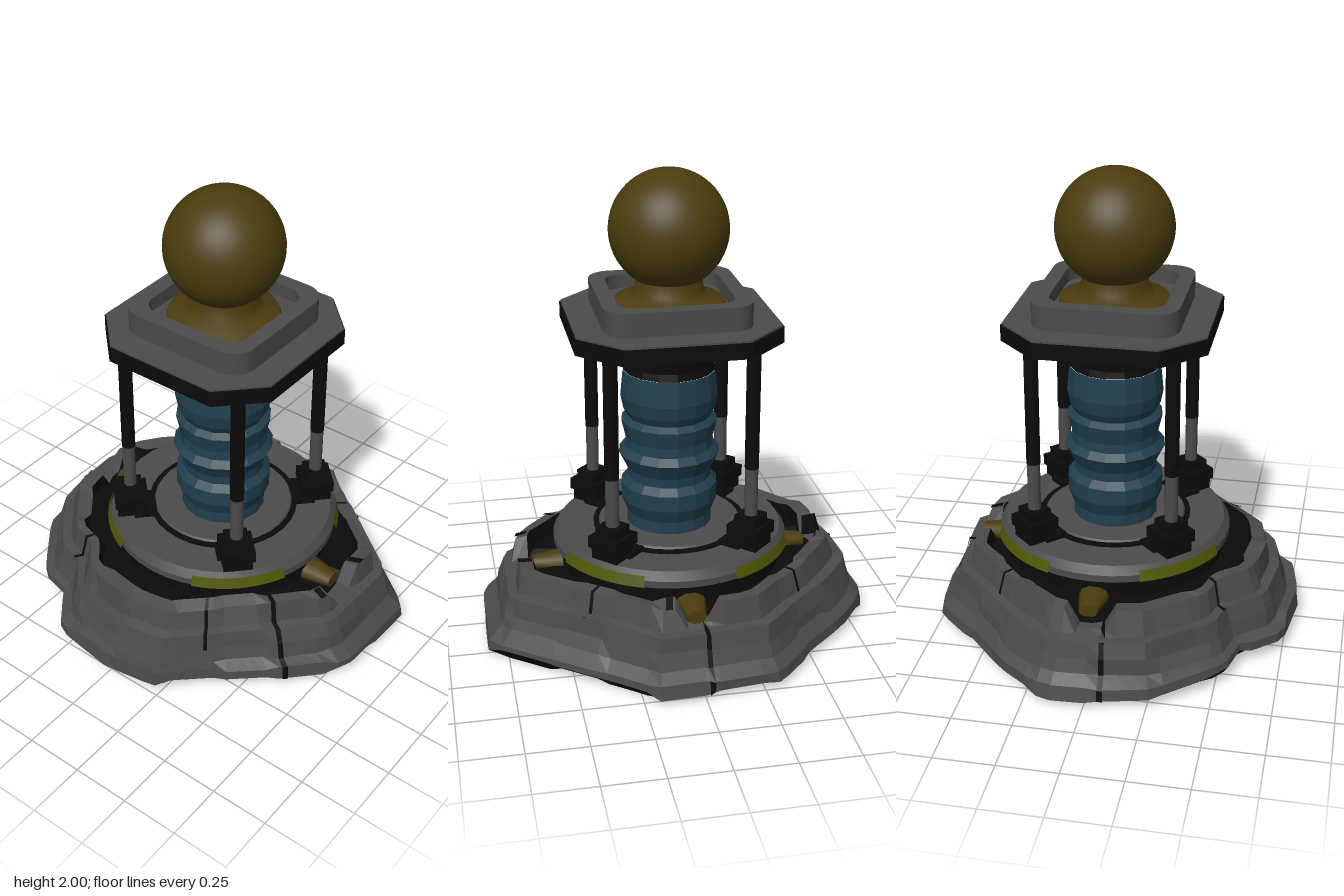
import * as THREE from 'three';
import { toCreasedNormals } from 'three/addons/utils/BufferGeometryUtils.js';

const mat = (name, color) => {
  const m = new THREE.MeshStandardMaterial({ color });
  m.name = name;
  return m;
};

// Repeatable noise in -1..1
const noise = (i, j) => {
  const s = Math.sin(i * 127.1 + j * 311.7) * 43758.5453;
  return (s - Math.floor(s)) * 2 - 1;
};

// Ground outline of the rocky base, as x, z pairs
const OUTLINE = [
  [0.79, 0.19], [0.69, 0.31], [0.3, 0.82], [0.27, 0.84], [-0.17, 0.83], [-0.4, 0.62], [-0.76, 0.24],
  [-0.8, 0], [-0.76, -0.29], [-0.59, -0.43], [-0.55, -0.58], [-0.26, -0.81], [-0.08, -0.84],
  [0.15, -0.85], [0.22, -0.82], [0.38, -0.7], [0.56, -0.5], [0.75, -0.32], [0.78, -0.04],
];

// Distance from the centre to the outline in direction a
function outlineRadius(a) {
  const dx = Math.cos(a), dz = Math.sin(a);
  for (let i = 0; i < OUTLINE.length; i++) {
    const [px, pz] = OUTLINE[i], [qx, qz] = OUTLINE[(i + 1) % OUTLINE.length];
    const ex = qx - px, ez = qz - pz, d = dx * ez - dz * ex;
    const t = (px * ez - pz * ex) / d, u = (px * dz - pz * dx) / d;
    if (t > 0 && u >= 0 && u <= 1) return t;
  }
  return 0.8;
}

// Rock profile: height, outline factor, height jitter, radius jitter
const PROFILE = [
  [0.015, 0.95, 0.01, 0], [0.04, 0.992, 0.015, 0.004], [0.085, 0.985, 0.015, 0.008], [0.13, 0.93, 0.01, 0.012],
  [0.19, 0.905, 0.008, 0.008], [0.26, 0.885, 0.006, 0.008], [0.265, 0.83, 0.006, 0.01],
  [0.355, 0.8, 0.014, 0.012], [0.365, 0.735, 0.012, 0.025], [0.3, 0.72, 0, 0.01],
];
const STEPS = 80;
const STUD_STEPS = [0, 20, 60];

function rockPoint(step, row, out = 0) {
  const [y, f, jy, jr] = PROFILE[row];
  const k = ((Math.round(step) % STEPS) + STEPS) % STEPS;
  const a = (step / STEPS) * Math.PI * 2;
  const block = Math.floor(k / 4); // neighbouring steps share one stone
  const r = outlineRadius(a) * (f + jr * noise(block, row)) + out;
  const notched = row > 6 && STUD_STEPS.some((s) => Math.cos(a - (s / STEPS) * Math.PI * 2) > 0.996);
  const lift = row < 3 ? 0.035 * Math.max(0, -Math.cos(a)) : 0;
  const h = notched ? 0.275 : y + lift + jy * noise(block, row + 20);
  return [r * Math.cos(a), h + (row > 6 ? out : 0), r * Math.sin(a)];
}

// Flat-faced skin over rock rows, between two steps
function rockSkin(row0, row1, from = 0, to = STEPS, stride = 1, out = 0) {
  const p = [];
  for (let s = from; s < to - 1e-6; s += stride) {
    for (let r = row0; r < row1; r++) {
      const a = rockPoint(s, r, out), b = rockPoint(s + stride, r, out);
      const c = rockPoint(s + stride, r + 1, out), d = rockPoint(s, r + 1, out);
      p.push(...a, ...c, ...b, ...a, ...d, ...c);
    }
  }
  return fromPoints(p);
}

// Closing fan from a rock row to the axis
function rockCap(row, y, up) {
  const p = [];
  for (let s = 0; s < STEPS; s++) {
    p.push(0, y, 0, ...rockPoint(up ? s + 1 : s, row), ...rockPoint(up ? s : s + 1, row));
  }
  return fromPoints(p);
}

function fromPoints(p) {
  const g = new THREE.BufferGeometry();
  g.setAttribute('position', new THREE.Float32BufferAttribute(p, 3));
  g.computeVertexNormals();
  return g;
}

// Square outlines: corners rounded, or cut to an octagon
function roundedSquare(Type, h, r) {
  const s = new Type();
  s.moveTo(h, 0);
  [[1, 1], [-1, 1], [-1, -1], [1, -1]].forEach(([x, y], i) => {
    const start = i * Math.PI / 2;
    s.absarc(x * (h - r), y * (h - r), r, start, start + Math.PI / 2, false);
  });
  s.closePath();
  return s;
}
const cutSquare = (h, c) => new THREE.Shape([
  [h, -c], [h, c], [c, h], [-c, h], [-h, c], [-h, -c], [-c, -h], [c, -h],
].map(([x, y]) => new THREE.Vector2(x, y)));

// Horizontal slab of a shape
const slab = (shape, y0, y1) =>
  new THREE.ExtrudeGeometry(shape, { depth: y1 - y0, bevelEnabled: false, curveSegments: 5 })
    .rotateX(-Math.PI / 2).translate(0, y0, 0);

const tube = (r0, r1, y0, y1, n = 32) =>
  new THREE.CylinderGeometry(r1, r0, y1 - y0, n).translate(0, (y0 + y1) / 2, 0);
const box = (w, y0, y1) => new THREE.BoxGeometry(w, y1 - y0, w).translate(0, (y0 + y1) / 2, 0);
const lathe = (pts, n) => new THREE.LatheGeometry(pts.map(([r, y]) => new THREE.Vector2(r, y)), n);
const faceted = (g) => {
  const f = g.toNonIndexed();
  f.computeVertexNormals();
  return f;
};

export function createModel() {
  const stone = mat('grey stone', 0x4b4b4b);
  const dark = mat('black metal', 0x0b0b0b);
  const gold = mat('dull gold', 0x4b3c0c);
  const blue = mat('deep blue', 0x213f4e);
  const olive = mat('olive green', 0x505604);

  const model = new THREE.Group();
  const add = (parent, name, geometry, material) => {
    const m = new THREE.Mesh(geometry, material);
    m.name = name;
    parent.add(m);
    return m;
  };

  // Rocky base with a dark gap inside its rim
  add(model, 'rockBase', rockSkin(1, 8), stone);
  add(model, 'rockFoot', rockSkin(0, 1), dark);
  add(model, 'rockInnerWall', rockSkin(8, 9), dark);
  add(model, 'rockGap', rockCap(9, 0.3, true), dark);
  add(model, 'rockUnderside', rockCap(0, 0.005, false), dark);

  // Dark cracks: start step, width in steps, first and last rock row
  [[79.4, 0.35, 1, 7], [58.8, 0.35, 1, 8], [26.4, 0.4, 1, 8], [9.4, 0.3, 5, 8], [48.4, 0.3, 5, 8],
    [69.4, 0.3, 6, 8], [32.5, 0.3, 4, 8], [17.2, 0.6, 7, 8], [22.2, 0.6, 7, 8], [2.2, 0.6, 7, 8]].forEach(([s, w, r0, r1]) =>
    add(model, 'crack', rockSkin(r0, r1, s, s + w, w, 0.005), dark));

  // Everything above the rock shares one upright axis
  const tower = new THREE.Group();
  tower.name = 'tower';
  tower.position.set(0.028, 0, 0.012);
  model.add(tower);

  // Stepped round floor
  add(tower, 'floorCore', tube(0.48, 0.48, 0.28, 0.39), dark);
  add(tower, 'floorDisc', toCreasedNormals(lathe([[0, 0.385], [0.505, 0.385], [0.505, 0.415], [0.48, 0.45], [0, 0.45]], 40), 0.5), stone);
  add(tower, 'floorRing', tube(0.33, 0.33, 0.45, 0.46), dark);
  add(tower, 'innerFloor', tube(0.315, 0.3, 0.45, 0.468), stone);

  // Gold studs in the notches of the rim
  for (const a of [0, Math.PI / 2, -Math.PI / 2]) {
    const g = new THREE.CylinderGeometry(0.04, 0.065, 0.13, 10).rotateZ(-Math.PI / 2)
      .scale(1, 0.75, 1).translate(0.535, 0.3, 0).rotateY(a);
    add(tower, 'goldStud', g, gold);
  }

  // Four corner posts with stepped square feet and olive floor inlays
  for (let i = 0; i < 4; i++) {
    const a = Math.PI / 4 + i * Math.PI / 2;
    const post = new THREE.Group();
    post.name = 'cornerPost';
    post.position.set(0.413 * Math.cos(a), 0, 0.413 * Math.sin(a));
    post.rotation.y = -a;
    tower.add(post);
    add(post, 'footLower', box(0.125, 0.43, 0.5), dark);
    add(post, 'footCollar', box(0.145, 0.5, 0.55), dark);
    add(post, 'footTop', box(0.1, 0.55, 0.59), dark);
    add(post, 'footSpur', new THREE.BoxGeometry(0.1, 0.03, 0.16).translate(-0.06, 0.455, 0), dark);
    add(post, 'postLower', tube(0.028, 0.028, 0.59, 0.8, 10), stone);
    add(post, 'postUpper', tube(0.03, 0.03, 0.8, 1.34, 10), dark);
    const inlay = new THREE.CylinderGeometry(0.503, 0.518, 0.046, 14, 1, true, Math.PI / 2 - a - 0.4, 0.8);
    add(tower, 'oliveInlay', inlay.translate(0, 0.413, 0), olive);
  }

  // Ribbed central column
  const ribs = [
    [0.185, 0.45], [0.183, 0.52], [0.207, 0.58], [0.207, 0.65], [0.18, 0.68], [0.182, 0.72], [0.206, 0.77], [0.217, 0.79],
    [0.192, 0.82], [0.188, 0.86], [0.205, 0.935], [0.178, 0.955], [0.196, 0.99], [0.208, 1.05], [0.197, 1.16],
  ];
  add(tower, 'column', faceted(lathe(ribs, 16)), blue);
  add(tower, 'columnCollar', faceted(lathe([[0.195, 1.16], [0.188, 1.19], [0.203, 1.29], [0.203, 1.33]], 16)), dark);

  // Roof plate and raised hollow block
  add(tower, 'roofPlate', slab(cutSquare(0.425, 0.255), 1.325, 1.392), dark);
  add(tower, 'roofTop', slab(cutSquare(0.42, 0.252), 1.392, 1.4), stone);
  const blockShape = roundedSquare(THREE.Shape, 0.305, 0.1);
  blockShape.holes.push(roundedSquare(THREE.Path, 0.24, 0.08));
  add(tower, 'roofBlock', slab(blockShape, 1.4, 1.5), stone);
  add(tower, 'trayFloor', slab(roundedSquare(THREE.Shape, 0.242, 0.08), 1.4, 1.44), stone);

  // Gold ball on a flared neck
  add(tower, 'ballNeck', lathe([[0.235, 1.44], [0.225, 1.46], [0.17, 1.475], [0.142, 1.5], [0.138, 1.56]], 32), gold);
  add(tower, 'ball', new THREE.SphereGeometry(0.247, 48, 32).translate(0, 1.753, 0), gold);

  return model;
}
